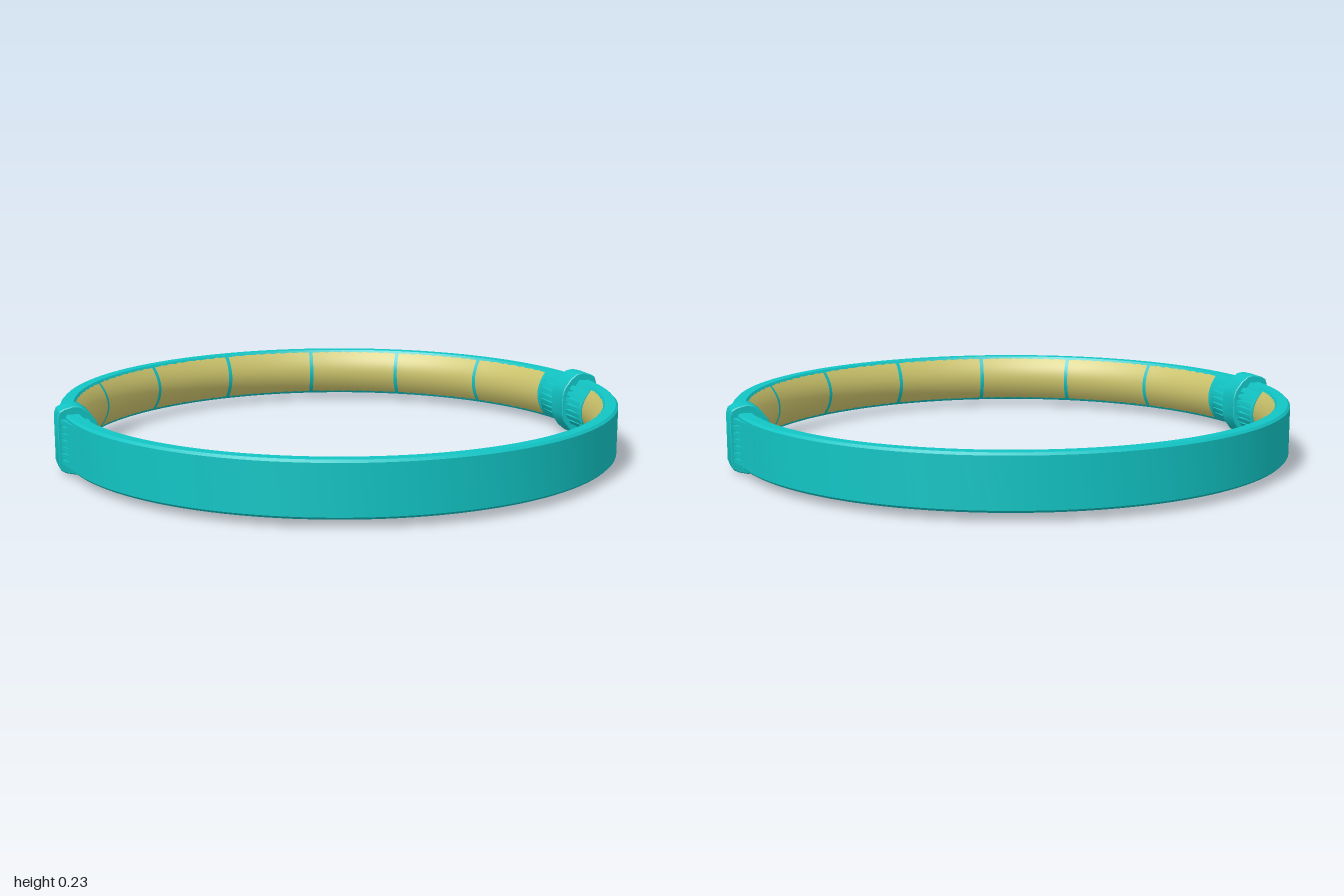
import * as THREE from 'three';
import { toCreasedNormals } from 'three/addons/utils/BufferGeometryUtils.js';

const MID = 0.118;   // height of the band's centre line
const HALF = 0.09;   // half height of the band
const STEP = Math.PI / 8;

const teal = new THREE.MeshStandardMaterial({ color: 0x12c4c4, side: THREE.DoubleSide });
const gold = new THREE.MeshStandardMaterial({ color: 0xccc46c, side: THREE.DoubleSide });

// How far the inside face swells inward at height offset d (1 in the middle, 0 at the rims)
const swell = (d) => Math.max(0, 1 - (d / 0.083) ** 2);

// Inside face from top to bottom, pushed inward by depth
function insideCurve(depth) {
  const pts = [];
  for (let i = 0; i <= 14; i++) {
    const d = 0.083 * (1 - i / 7);
    pts.push(new THREE.Vector2(0.92 - depth * swell(d), MID + d));
  }
  return pts;
}

function part(name, geometry, material) {
  const mesh = new THREE.Mesh(toCreasedNormals(geometry, 0.5), material);
  mesh.name = name;
  return mesh;
}

// Sloped plate beside a clasp, with tapering slots cut in from the clasp end
function slottedPlate(name, dir, zEnd, slotEnd, height, lower, upper) {
  const z0 = 0.03, slots = 6, pitch = (2 * height) / (slots + 0.6);
  const pts = [[z0, -height]];
  for (let i = 0; i <= 6; i++) pts.push([zEnd, height * (i / 3 - 1)]);
  pts.push([z0, height]);
  for (let i = 0; i < slots; i++) {
    const y = ((slots - 1) / 2 - i) * pitch;
    pts.push([z0, y + pitch * 0.24], [slotEnd, y + 0.001], [slotEnd, y - 0.001], [z0, y - pitch * 0.24]);
  }
  const shape = new THREE.Shape(pts.map(([z, y]) => new THREE.Vector2(-dir * z, y)));
  const geo = new THREE.ExtrudeGeometry(shape, { depth: 1, bevelEnabled: false });
  const p = geo.attributes.position;
  for (let i = 0; i < p.count; i++) {
    const z = -p.getX(i), y = p.getY(i);
    const x = p.getZ(i) > 0.5 ? upper(Math.abs(z), y) : lower(Math.abs(z), y);
    p.setXYZ(i, x, MID + y, z);
  }
  geo.computeVertexNormals();
  return part(name, geo, teal);
}

// Clasp wrapped round the band at +x, with slotted plates fore and aft
function makeClasp() {
  const clasp = new THREE.Group();
  const half = [[0.995, 0.08], [0.988, 0.1], [0.972, 0.109], [0.94, 0.117], [0.915, 0.113], [0.89, 0.094], [0.866, 0.062], [0.858, 0.035]];
  const outline = [...half, ...half.map(([x, y]) => [x, -y]).reverse()];
  const shape = new THREE.Shape(outline.map(([x, y]) => new THREE.Vector2(x, y)));
  const geo = new THREE.ExtrudeGeometry(shape, { depth: 0.084, bevelEnabled: true, bevelThickness: 0.003, bevelSize: 0.003, bevelOffset: -0.003, bevelSegments: 1 });
  geo.translate(0, MID, -0.042);
  clasp.add(part('claspLoop', geo, teal));

  const ramp = (z) => 0.985 - (z - 0.045) * 0.228;
  const inner = (z, y) => 0.867 + 0.036 * (1 - swell(y));
  for (const dir of [1, -1]) {
    clasp.add(slottedPlate('outerSlottedPlate', dir, 0.22, 0.105, 0.075, () => 0.93, ramp));
    clasp.add(slottedPlate('innerSlottedPlate', dir, 0.176, 0.155, 0.072, inner, (z, y) => Math.max(0.9, inner(z, y) + 0.008)));
  }
  return clasp;
}

export function createModel() {
  const group = new THREE.Group();

  // Main band: bevelled outside, swelling inside
  const v = (r, d) => new THREE.Vector2(r, MID + d);
  const profile = [
    v(0.925, -HALF), v(0.962, -HALF), v(0.97, -HALF + 0.008), v(0.97, HALF - 0.008),
    v(0.962, HALF), v(0.925, HALF), ...insideCurve(0.031), v(0.925, -HALF),
  ];
  group.add(part('band', new THREE.LatheGeometry(profile, 128), teal));

  // Lining panels, leaving the two clasp positions bare
  const gap = 0.016;
  for (let k = 0; k < 16; k++) {
    if (k === 4 || k === 12) continue;
    const geo = new THREE.LatheGeometry(insideCurve(0.035), 12, (k - 0.5) * STEP + gap / 2, STEP - gap);
    group.add(part('liningPanel', geo, gold));
  }

  // Matching clasps on both sides
  const left = makeClasp();
  left.name = 'leftClasp';
  const right = makeClasp();
  right.name = 'rightClasp';
  right.rotation.y = Math.PI;
  group.add(left, right);
  return group;
}
